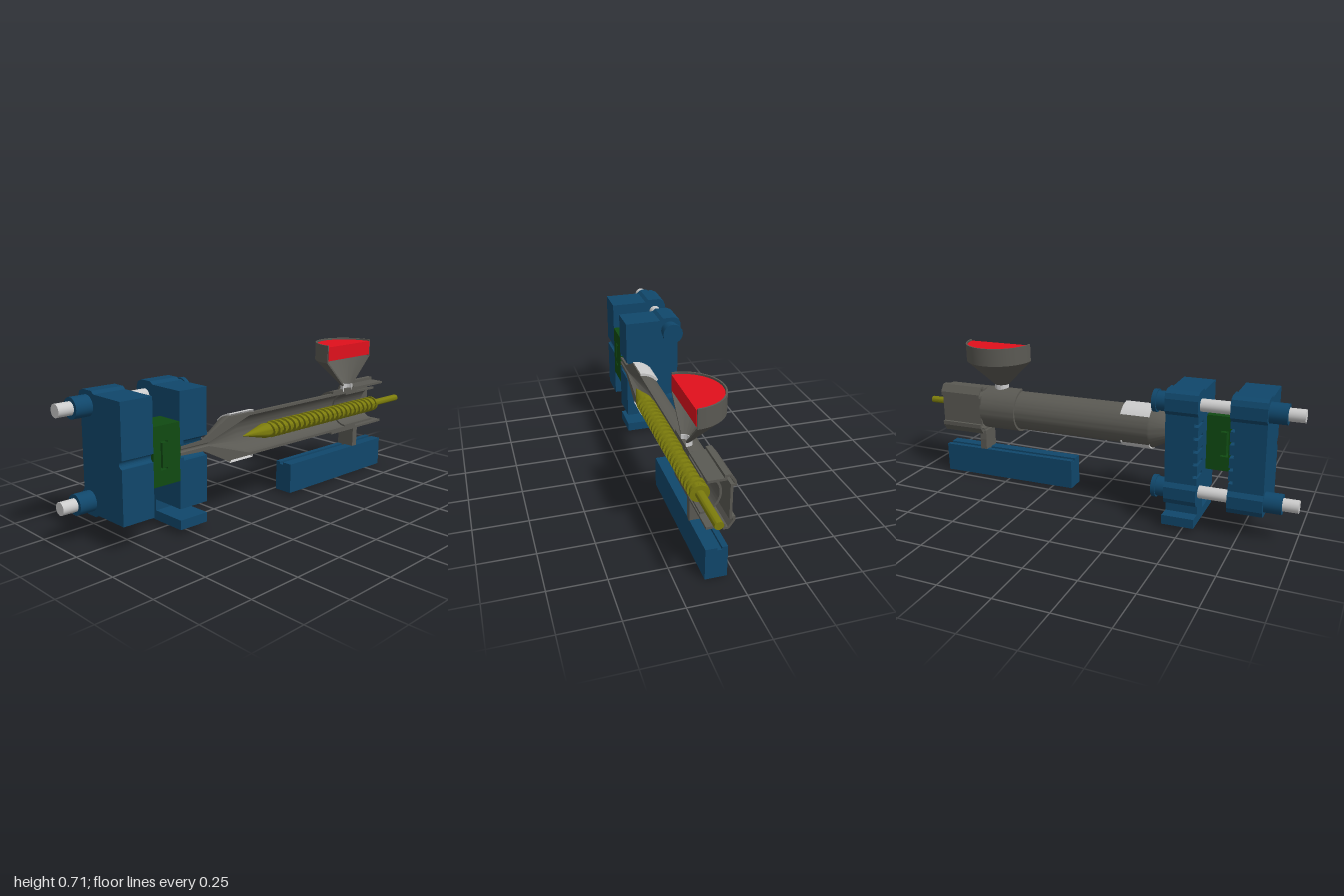
import * as THREE from 'three';
import { mergeGeometries, toCreasedNormals } from 'three/addons/utils/BufferGeometryUtils.js';
import { ParametricGeometry } from 'three/addons/geometries/ParametricGeometry.js';

const CUT = 0.13;   // z of the section plane
const AXIS = 0.37;  // height of the barrel axis
const mat = (color) => new THREE.MeshStandardMaterial({ color });
const BLUE = mat(0x10476b), GREY = mat(0x5a5953), GREEN = mat(0x104a12);
const YELLOW = mat(0x7c7c0c), RED = mat(0xe0101c), WHITE = mat(0xdcdcdc);
const shapeOf = (pts) => new THREE.Shape(pts.map(([a, b]) => new THREE.Vector2(a, b)));
const plain = (g) => (g.index ? g.toNonIndexed() : g);

export function createModel() {
  const model = new THREE.Group();
  const body = new THREE.Group();
  body.name = 'machine';
  body.rotation.z = -0.0167;
  model.add(body);

  const add = (name, geo, material, x = 0, y = 0, z = 0) => {
    const m = new THREE.Mesh(geo, material);
    m.name = name;
    m.position.set(x, y, z);
    body.add(m);
    return m;
  };

  // Box given by its limits
  const box = (name, material, x0, x1, y0, y1, z0, z1) =>
    add(name, new THREE.BoxGeometry(x1 - x0, y1 - y0, z1 - z0), material, (x0 + x1) / 2, (y0 + y1) / 2, (z0 + z1) / 2);

  // Outline in (-z, y) pushed along x
  const pushX = (name, pts, x0, x1, material) => {
    const g = new THREE.ExtrudeGeometry(shapeOf(pts), { depth: x1 - x0, bevelEnabled: false });
    return add(name, g.rotateY(Math.PI / 2), material, x0);
  };

  // Half-turned closed profile (radius, height) with its two section faces
  const halfTurn = (pts, start = Math.PI / 2, sweep = Math.PI) => {
    const loop = [...pts, pts[0]].map(([r, h]) => new THREE.Vector2(r, h));
    const lathe = toCreasedNormals(new THREE.LatheGeometry(loop, 40, start, sweep), 0.6);
    const caps = [1, -1].map((s) => plain(new THREE.ShapeGeometry(shapeOf(pts.map(([r, h]) => [s * r, h])))));
    return mergeGeometries([plain(lathe), ...caps]);
  };
  const alongX = (name, pts, material) =>
    add(name, halfTurn(pts).rotateZ(-Math.PI / 2), material, 0, AXIS, CUT);

  const rodX = (name, r, x0, x1, y, z, material, sides = 28) =>
    add(name, new THREE.CylinderGeometry(r, r, x1 - x0, sides).rotateZ(-Math.PI / 2), material, (x0 + x1) / 2, y, z);

  // Platens: lobed corners, a half-round bore at the section, slots in the inner face
  const platen = (name, x0, x1, bore, slotted) => {
    const top = [[-CUT, 0.258], [0.05, 0.258], [0.065, 0.27], [0.125, 0.27], [0.15, 0.259],
      [0.16, 0.235], [0.16, 0.18], [0.143, 0.16]];
    const pts = top.map(([s, y]) => [s, AXIS + y]);
    if (slotted) {
      for (let i = 2; i >= -2; i--) {
        const y = AXIS + i * 0.06;
        pts.push([0.143, y + 0.007], [0.06, y + 0.007], [0.06, y - 0.007], [0.143, y - 0.007]);
      }
    }
    pts.push(...top.slice().reverse().map(([s, y]) => [s, AXIS - y]));
    for (let i = 0; i <= 10; i++) {
      const a = -Math.PI / 2 + (i / 10) * Math.PI;
      pts.push([-CUT + bore * Math.cos(a), AXIS + bore * Math.sin(a)]);
    }
    pushX(name, pts, x0, x1, BLUE);
  };
  platen('movingPlaten', -0.857, -0.72, 0.018, false);
  platen('movingPlatenFace', -0.72, -0.70, 0.018, true);
  platen('fixedPlatenFace', -0.56, -0.54, 0.03, true);
  platen('fixedPlaten', -0.54, -0.41, 0.045, false);

  // Foot of the fixed platen
  box('platenFoot', BLUE, -0.56, -0.41, 0.016, 0.06, -0.18, CUT);
  box('footWeb', BLUE, -0.56, -0.41, 0.06, 0.115, -0.12, -0.04);

  // Tie rods with their nuts
  for (const side of [1, -1]) {
    const y = AXIS + side * 0.205, z = -0.1;
    rodX('tieRod', 0.029, -1.005, -0.39, y, z, WHITE);
    rodX('outerNut', 0.046, -0.935, -0.85, y, z, BLUE);
    rodX('innerNut', 0.045, -0.42, -0.36, y, z, BLUE);
    rodX('nutRim', 0.052, -0.365, -0.345, y, z, BLUE, 16);
  }

  // Two mould halves with a C-shaped cavity
  const mouldHalf = (name, pts) => add(name,
    new THREE.ExtrudeGeometry(shapeOf(pts), { depth: CUT, bevelEnabled: false }), GREEN);
  mouldHalf('movingMould', [[-0.70, 0.24], [-0.625, 0.24], [-0.625, 0.308], [-0.662, 0.308], [-0.662, 0.432],
    [-0.625, 0.432], [-0.625, 0.5], [-0.70, 0.5]]);
  mouldHalf('fixedMould', [[-0.625, 0.24], [-0.558, 0.24], [-0.558, 0.5], [-0.625, 0.5], [-0.625, 0.424],
    [-0.652, 0.424], [-0.652, 0.316], [-0.625, 0.316]]);

  // Nozzle, barrel and collar in one sectioned profile
  alongX('barrel', [[0.008, -0.555], [0.02, -0.555], [0.026, -0.43], [0.04, -0.40], [0.105, -0.275], [0.105, -0.265],
    [0.1, -0.265], [0.1, 0.445], [0.112, 0.445], [0.112, 0.64], [0.088, 0.64], [0.088, -0.15], [0.012, -0.385],
    [0.008, -0.40]], GREY);
  alongX('feedSleeve', [[0.08, 0.55], [0.09, 0.55], [0.09, 0.785], [0.08, 0.785]], GREY);

  // Pale heater shells above and below the barrel head
  for (const start of [Math.PI / 2, Math.PI * 1.5 - 0.9]) {
    const ring = [[0.098, -0.27], [0.112, -0.27], [0.112, -0.125], [0.098, -0.125], [0.098, -0.27]];
    const g = new THREE.LatheGeometry(ring.map(([r, h]) => new THREE.Vector2(r, h)), 12, start, 0.9);
    const shell = add('heaterShell', toCreasedNormals(g, 0.6).rotateZ(-Math.PI / 2), WHITE.clone(), 0, AXIS, CUT);
    shell.material.side = THREE.DoubleSide;
  }

  // Angular drive housing, a thin wall open at both ends
  const outer = [[0, 0.111], [0.07, 0.111], [0.07, 0.125], [0.095, 0.125], [0.12, 0.09], [0.12, 0.07], [0.106, 0.07]];
  const inner = [[0, 0.1], [0.08, 0.1], [0.08, 0.115], [0.091, 0.115], [0.11, 0.087], [0.11, 0.08], [0.095, 0.08]];
  const both = (p) => [...p, ...p.slice().reverse().map(([d, y]) => [d, -y])];
  pushX('driveHousing', [...both(outer), ...both(inner).reverse()].map(([d, y]) => [d - CUT, AXIS + y]),
    0.635, 0.86, GREY);

  // Screw: tapered core, rod and helical flight
  const screw = new THREE.Group();
  screw.name = 'screw';
  screw.position.set(0, AXIS, 0.133);
  screw.rotation.y = 0.006;
  screw.scale.z = 1.15;
  body.add(screw);
  const core = [[0, -0.2], [0.034, -0.06], [0.034, -0.04], [0.028, -0.035], [0.03, 0.765], [0.037, 0.765],
    [0.037, 0.775], [0.017, 0.776], [0.017, 0.994], [0, 0.994]].map(([r, h]) => new THREE.Vector2(r, h));
  const coreMesh = new THREE.Mesh(toCreasedNormals(new THREE.LatheGeometry(core, 28), 0.6).rotateZ(-Math.PI / 2), YELLOW);
  coreMesh.name = 'screwCore';
  const pitch = 0.036, turns = 22;
  const rib = [[-0.009, 0.024], [-0.007, 0.038], [0.007, 0.038], [0.009, 0.024]];
  const flight = new ParametricGeometry((u, v, p) => {
    const [dx, r] = rib[Math.round(v * 3)];
    const a = u * turns * Math.PI * 2;
    p.set(-0.03 + u * turns * pitch + dx, r * Math.cos(a), r * Math.sin(a));
  }, turns * 24, 3);
  const flightMat = YELLOW.clone();
  flightMat.side = THREE.DoubleSide;
  const flightMesh = new THREE.Mesh(toCreasedNormals(flight, 0.6), flightMat);
  flightMesh.name = 'screwFlight';
  screw.add(coreMesh, flightMesh);

  // Hopper with neck and filling
  const hx = 0.562;
  add('hopper', halfTurn([[0.038, 0.5], [0.172, 0.632], [0.172, 0.72], [0.165, 0.72], [0.165, 0.636], [0.031, 0.504]]),
    GREY, hx, 0, CUT);
  add('hopperNeck', halfTurn([[0.03, 0.465], [0.038, 0.465], [0.038, 0.502], [0.03, 0.502]]), WHITE, hx, 0, CUT);
  add('granules', halfTurn([[0, 0.642], [0.165, 0.642], [0.165, 0.712], [0, 0.712]]), RED, hx, 0, CUT + 0.002);

  // Grooved rail and the barrel support on it
  pushX('rail', [[-CUT, 0.016], [-0.035, 0.016], [-0.035, 0.162], [-0.06, 0.162], [-0.06, 0.15], [-0.08, 0.15],
    [-0.08, 0.162], [-CUT, 0.162]], 0.137, 0.862, BLUE);
  pushX('barrelSupport', [[-CUT, 0.155], [-0.035, 0.155], [-0.035, 0.215], [-0.04, 0.262], [-CUT, 0.262]],
    0.622, 0.656, GREY);

  return model;
}
